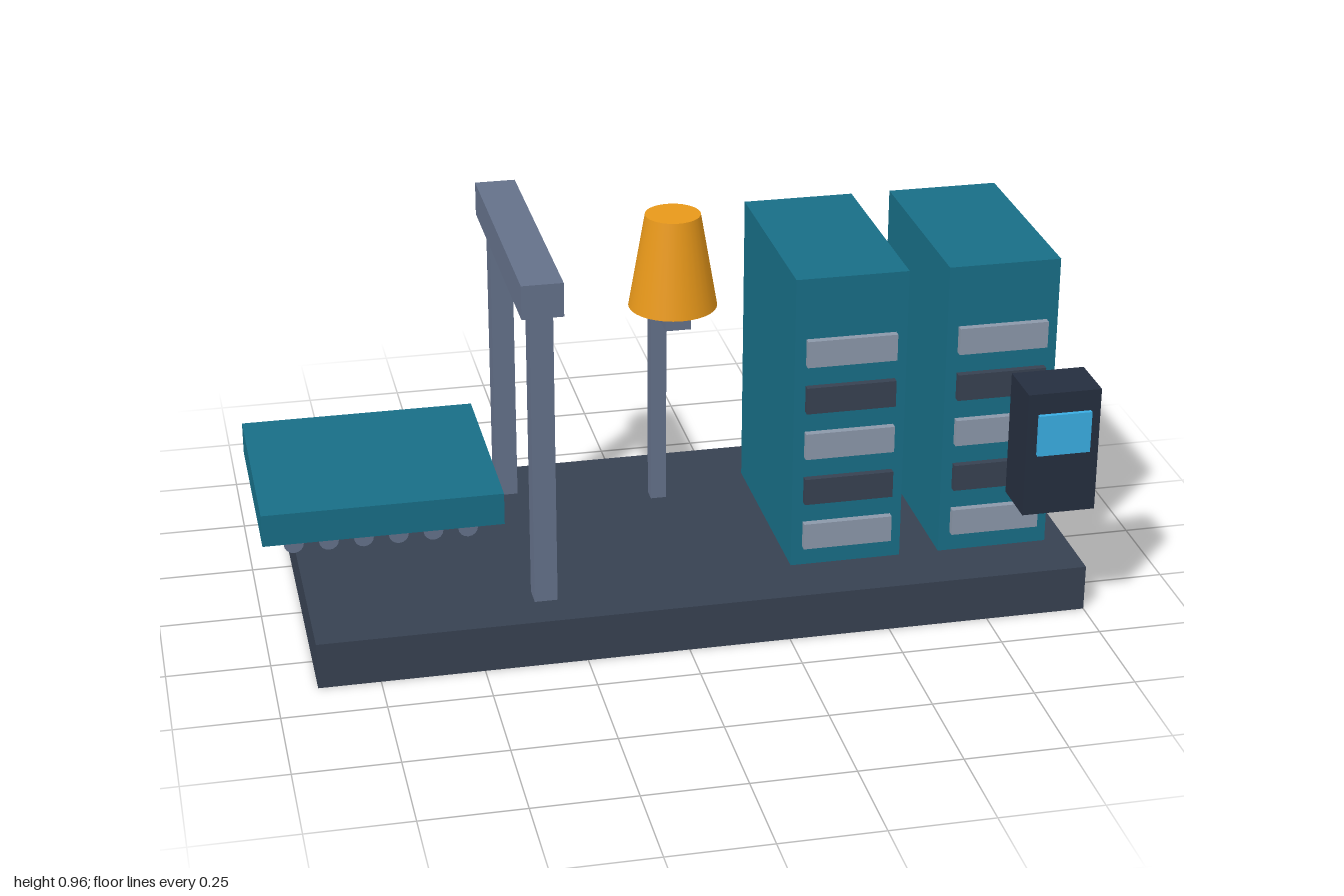
import * as THREE from 'three';

const paint = (color) => new THREE.MeshStandardMaterial({ color });

export function createModel() {
  const model = new THREE.Group();
  const slate = paint(0x374151), steel = paint(0x64718a), teal = paint(0x186e86);
  const pale = paint(0x8c98aa), dark = paint(0x252e3f), blue = paint(0x3aaee4), amber = paint(0xe8981a);

  const add = (parent, name, geometry, material) => {
    const mesh = new THREE.Mesh(geometry, material);
    mesh.name = name;
    parent.add(mesh);
    return mesh;
  };
  // box given by its extents on each axis
  const box = (parent, name, material, [x0, x1], [y0, y1], [z0, z1]) => {
    const mesh = add(parent, name, new THREE.BoxGeometry(x1 - x0, y1 - y0, z1 - z0), material);
    mesh.position.set((x0 + x1) / 2, (y0 + y1) / 2, (z0 + z1) / 2);
    return mesh;
  };
  const group = (name) => {
    const g = new THREE.Group();
    g.name = name;
    model.add(g);
    return g;
  };

  const floor = 0.117;
  box(model, 'base', slate, [-0.9, 1], [0, floor], [-0.465, 0.38]);

  // two cabinets with alternating pale and dark drawers
  for (const x of [0.428, 0.806]) {
    const cabinet = group('cabinet');
    box(cabinet, 'cabinetBody', teal, [x - 0.139, x + 0.139], [floor, 0.878], [-0.306, 0.222]);
    for (let i = 0; i < 5; i++) {
      const y = 0.201 + i * 0.122;
      box(cabinet, 'drawer', i % 2 ? slate : pale, [x - 0.111, x + 0.111], [y - 0.034, y + 0.034], [0.212, 0.24]);
    }
  }

  // control panel with screen
  const panel = group('controlPanel');
  box(panel, 'panelBody', dark, [0.8, 0.981], [0.318, 0.635], [0.325, 0.456]);
  box(panel, 'screen', blue, [0.826, 0.957], [0.477, 0.582], [0.446, 0.467]);

  // gantry: two posts and a cross beam
  const gantry = group('gantry');
  for (const z of [0.25, -0.337]) {
    box(gantry, 'gantryPost', steel, [-0.361, -0.305], [floor, 0.87], [z - 0.028, z + 0.028]);
  }
  box(gantry, 'gantryBeam', steel, [-0.383, -0.283], [0.868, 0.952], [-0.386, 0.301]);

  // conveyor bed on rollers
  const conveyor = group('conveyor');
  box(conveyor, 'conveyorBed', teal, [-1, -0.42], [0.303, 0.384], [-0.31, 0.215]);
  for (let i = 0; i < 6; i++) {
    const roller = add(conveyor, 'roller', new THREE.CylinderGeometry(0.024, 0.024, 0.44, 16), steel);
    roller.rotation.x = Math.PI / 2;
    roller.position.set(-0.923 + i * 0.084, 0.281, -0.047);
  }

  // stand with arm and conical hood
  const stand = group('hoodStand');
  box(stand, 'standPost', steel, [0.027, 0.067], [floor, 0.7], [-0.25, -0.21]);
  box(stand, 'standArm', steel, [0.016, 0.079], [0.685, 0.737], [-0.235, 0.02]);
  const hood = add(stand, 'hood', new THREE.CylinderGeometry(0.068, 0.109, 0.237, 32), amber);
  hood.position.set(0.047, 0.8465, -0.043);

  return model;
}
